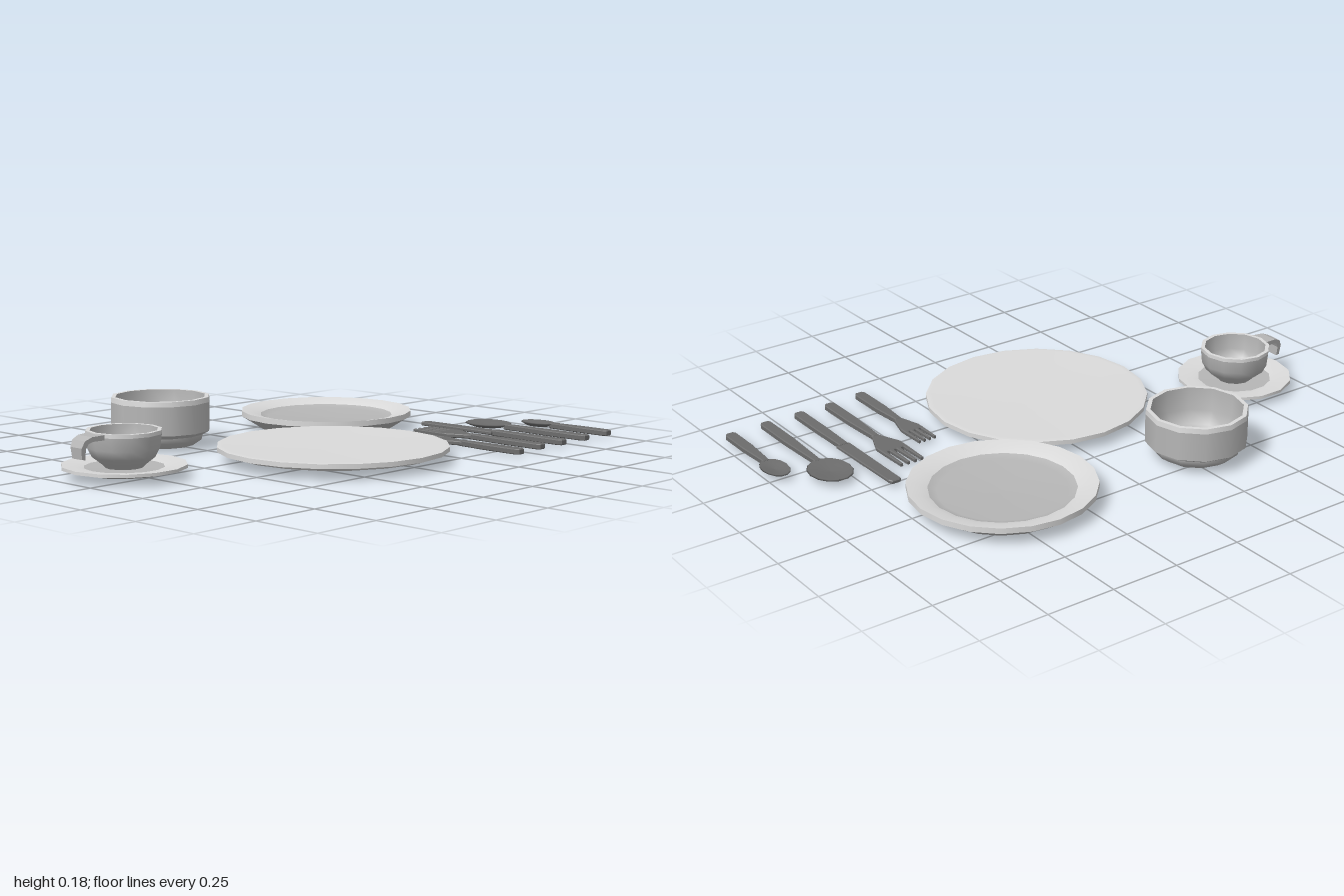
import * as THREE from 'three';

const material = (name, color) => {
  const m = new THREE.MeshStandardMaterial({ color });
  m.name = name;
  return m;
};

export function createModel() {
  const model = new THREE.Group();
  model.name = 'tableSetting';
  const glaze = material('light glaze', 0xdadada);
  const clay = material('grey glaze', 0xb6b6b6);
  const steel = material('dark steel', 0x6c6c6c);

  // Turned dish: each section [material, name, profile points] is smooth, edges between sections stay sharp
  function turned(name, x, z, sides, sections) {
    const group = new THREE.Group();
    group.name = name;
    group.position.set(x, 0, z);
    for (const [mat, part, pts] of sections) {
      const geo = new THREE.LatheGeometry(pts.map(([r, y]) => new THREE.Vector2(r, y)), sides);
      const mesh = new THREE.Mesh(geo, mat);
      mesh.name = part;
      group.add(mesh);
    }
    model.add(group);
    return group;
  }

  turned('dinnerPlate', 0.2, 0.08, 20, [
    [glaze, 'underside', [[0, 0.004], [0.26, 0.007], [0.36, 0.026], [0.403, 0.039]]],
    [glaze, 'edge', [[0.403, 0.039], [0.403, 0.055]]],
    [glaze, 'top', [[0.403, 0.055], [0.385, 0.057], [0.28, 0.053], [0, 0.051]]],
  ]);

  turned('deepPlate', -0.32, -0.437, 20, [
    [clay, 'foot', [[0, 0], [0.245, 0]]],
    [clay, 'underside', [[0.245, 0], [0.28, 0.022], [0.322, 0.048]]],
    [glaze, 'edge', [[0.322, 0.048], [0.322, 0.068]]],
    [glaze, 'rim', [[0.322, 0.068], [0.28, 0.061], [0.25, 0.05]]],
    [clay, 'well', [[0.25, 0.05], [0.22, 0.04], [0, 0.036]]],
  ]);

  turned('bowl', -0.443, 0.296, 12, [
    [clay, 'base', [[0, 0.008], [0.12, 0.008]]],
    [clay, 'foot', [[0.12, 0.008], [0.152, 0.03], [0.156, 0.048]]],
    [clay, 'step', [[0.156, 0.048], [0.18, 0.062]]],
    [clay, 'wall', [[0.18, 0.062], [0.18, 0.165]]],
    [glaze, 'rimBand', [[0.18, 0.165], [0.178, 0.183]]],
    [glaze, 'lip', [[0.178, 0.183], [0.163, 0.183]]],
    [clay, 'inside', [[0.163, 0.183], [0.158, 0.1], [0.135, 0.055], [0.085, 0.035]]],
    [clay, 'floor', [[0.085, 0.035], [0, 0.033]]],
  ]);

  turned('saucer', -0.08, 0.786, 14, [
    [clay, 'underside', [[0, 0.014], [0.13, 0.014], [0.211, 0.032]]],
    [glaze, 'edge', [[0.211, 0.032], [0.211, 0.043]]],
    [glaze, 'rim', [[0.211, 0.043], [0.16, 0.039], [0.135, 0.034]]],
    [clay, 'well', [[0.135, 0.034], [0, 0.03]]],
  ]);

  const cup = turned('cup', -0.08, 0.786, 12, [
    [clay, 'body', [[0.062, 0.03], [0.075, 0.044], [0.108, 0.07], [0.123, 0.1], [0.128, 0.145]]],
    [glaze, 'rimBand', [[0.128, 0.145], [0.128, 0.158]]],
    [glaze, 'lip', [[0.128, 0.158], [0.114, 0.158]]],
    [clay, 'inside', [[0.114, 0.158], [0.11, 0.1], [0.095, 0.07], [0.07, 0.052]]],
    [clay, 'floor', [[0.07, 0.052], [0, 0.05]]],
  ]);

  // Hooked handle: side outline extruded across the cup, narrowing away from the rim
  const hook = new THREE.Shape([
    [0.115, 0.156], [0.165, 0.154], [0.192, 0.143], [0.204, 0.12], [0.2, 0.082],
    [0.186, 0.08], [0.187, 0.115], [0.178, 0.132], [0.16, 0.138], [0.115, 0.138],
  ].map(([z, y]) => new THREE.Vector2(z, y)));
  const hookGeo = new THREE.ExtrudeGeometry(hook, { depth: 1, bevelEnabled: false });
  hookGeo.translate(0, 0, -0.5).rotateY(-Math.PI / 2);
  const p = hookGeo.attributes.position;
  for (let i = 0; i < p.count; i++) {
    const reach = (p.getZ(i) - 0.115) / 0.09, drop = (0.156 - p.getY(i)) / 0.076;
    p.setX(i, p.getX(i) * (0.082 - 0.018 * reach - 0.018 * drop));
  }
  hookGeo.computeVertexNormals();
  const handle = new THREE.Mesh(hookGeo, clay);
  handle.name = 'cupHandle';
  cup.add(handle);

  // Flat cutlery part: outline in (x, z) extruded upward with a small bevel
  function flat(parent, name, outline, bottom = 0.01, top = 0.03) {
    const bevel = 0.003;
    const shape = new THREE.Shape(outline.map(([x, z]) => new THREE.Vector2(x, z)));
    const geo = new THREE.ExtrudeGeometry(shape, {
      depth: top - bottom - 2 * bevel, bevelEnabled: true, bevelSegments: 1,
      bevelSize: bevel, bevelOffset: -bevel, bevelThickness: bevel,
    });
    geo.rotateX(Math.PI / 2).translate(0, top - bevel, 0);
    const mesh = new THREE.Mesh(geo, steel);
    mesh.name = name;
    parent.add(mesh);
  }
  const mirrored = (half) => [...half, ...half.map(([x, z]) => [x, -z]).reverse()];

  function piece(name, z) {
    const group = new THREE.Group();
    group.name = name;
    group.position.z = z;
    model.add(group);
    return group;
  }
  const grip = (start, neck, wide, end) => mirrored([
    [start, neck], [wide, 0.021], [end - 0.012, 0.021], [end, 0.013],
  ]);

  function spoon(name, z, x0, x1, halfWidth, wide, end) {
    const group = piece(name, z);
    const dish = new THREE.LatheGeometry([
      [0, 0.01], [0.65, 0.013], [1, 0.024], [0.95, 0.028], [0.6, 0.021], [0, 0.018],
    ].map(([r, y]) => new THREE.Vector2(r, y)), 14);
    const mesh = new THREE.Mesh(dish, steel);
    mesh.name = 'spoonBowl';
    mesh.scale.set((x1 - x0) / 2, 1, halfWidth);
    mesh.position.x = (x0 + x1) / 2;
    group.add(mesh);
    flat(group, 'spoonHandle', grip(x1 - 0.012, 0.012, wide, end));
  }
  spoon('teaspoon', -0.953, 0.222, 0.367, 0.047, 0.49, 0.618);
  spoon('soupSpoon', -0.81, 0.076, 0.262, 0.077, 0.45, 0.625);

  // Fork: four tines cut into a palm that tapers into the handle
  function fork(name, z, tip, root, palm, neck, halfWidth, wide, end) {
    const group = piece(name, z);
    const pitch = halfWidth * 2 / 3.6, width = pitch * 0.6;
    const outline = [];
    for (let i = 0; i < 4; i++) {
      const left = -halfWidth + i * pitch;
      outline.push([root, left], [tip, left + width * 0.2], [tip, left + width * 0.8], [root, left + width]);
    }
    outline.push([palm, halfWidth], [neck, 0.016], [neck + 0.02, 0.012], [neck + 0.02, -0.012], [neck, -0.016], [palm, -halfWidth]);
    flat(group, 'forkHead', outline, 0.012, 0.027);
    flat(group, 'forkHandle', grip(neck, 0.012, wide, end));
  }
  fork('dinnerFork', -0.547, 0.063, 0.172, 0.215, 0.295, 0.05, 0.46, 0.625);
  fork('saladFork', -0.41, 0.177, 0.262, 0.29, 0.365, 0.038, 0.48, 0.638);

  // Knife
  const knife = piece('knife', -0.673);
  flat(knife, 'knifeBlade', [
    [-0.03, -0.012], [-0.015, -0.019], [0.312, -0.026], [0.312, 0.026], [-0.022, 0.026], [-0.03, 0.018],
  ], 0.013, 0.026);
  flat(knife, 'knifeHandle', grip(0.305, 0.017, 0.46, 0.625));

  return model;
}
